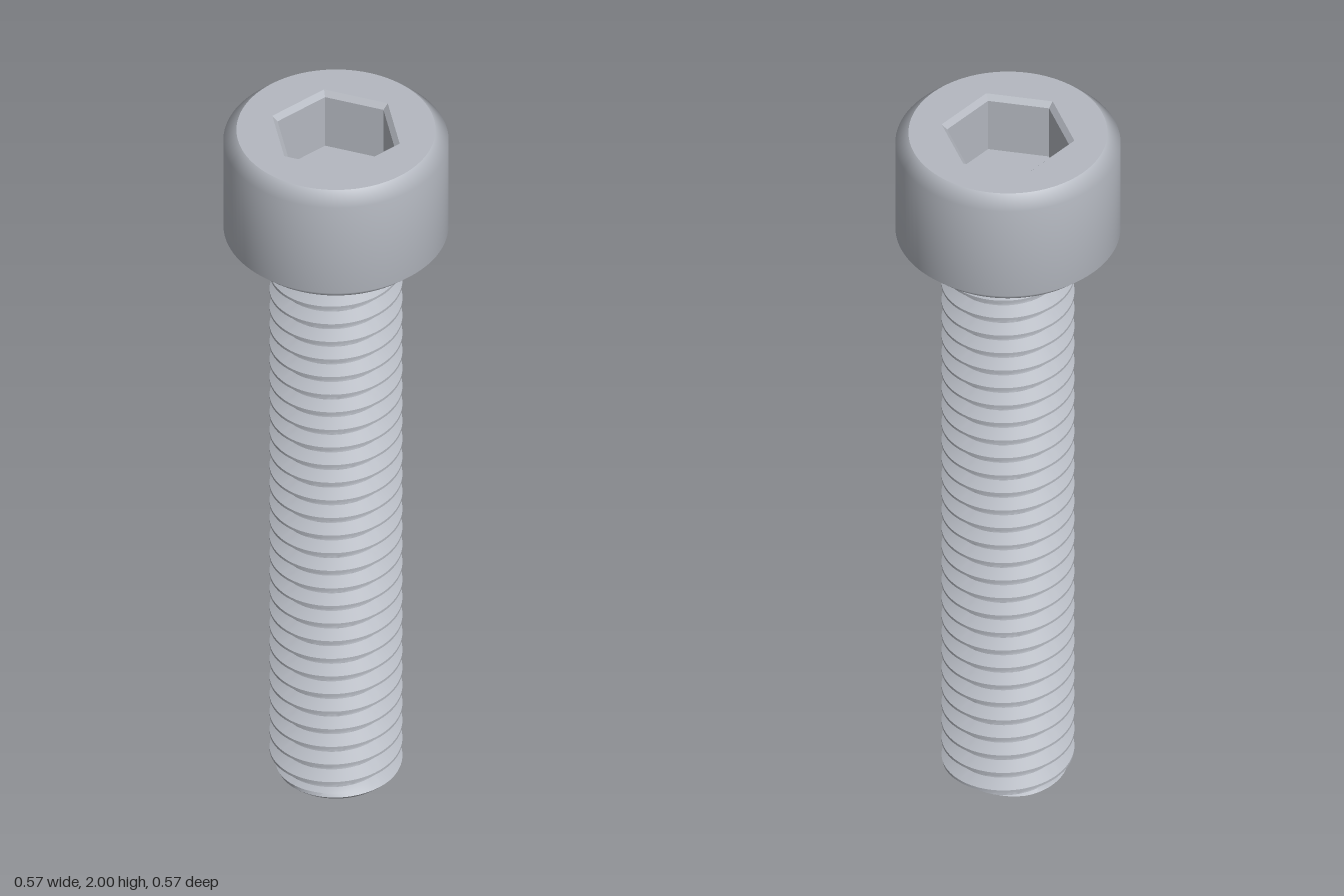
import * as THREE from 'three';
import { toCreasedNormals } from 'three/addons/utils/BufferGeometryUtils.js';

const SEG = 96;
const HEAD_Y = 1.667, TOP_Y = 2;
const HEAD_R = 0.283, FACE_R = 0.25;
const CREST = 0.167, DEPTH = 0.03, PITCH = 1 / 18, TIP_R = 0.145;
const START = 0.016; // height of the crest at the front, lowest turn

// thread radius at an angle and height, with tip chamfer and neck below the head
function threadRadius(a, y) {
  const t = (y - START) / PITCH - a / (2 * Math.PI);
  const d = Math.abs(t - Math.round(t));
  const flank = THREE.MathUtils.clamp((d - 0.0625) / 0.3125, 0, 1);
  const root = Math.max(0, d - 0.375) * 0.016;
  const r = CREST - DEPTH * flank - root;
  const neck = 0.14 + Math.max(0, 1.652 - y);
  return Math.min(r, TIP_R + y, neck);
}

function threadPoint(a, y) {
  const h = THREE.MathUtils.clamp(y, 0, HEAD_Y);
  const r = threadRadius(a, h);
  return [r * Math.sin(a), h, r * Math.cos(a)];
}

// helical surface: every row follows the thread once around
function threadGeometry() {
  const rows = [];
  for (let turn = -2; turn <= 31; turn++) {
    for (const t of [-0.0625, 0.0625, 0.22, 0.375, 0.5, 0.625, 0.78]) rows.push(turn + t);
  }
  const pos = [], index = [], w = SEG + 1;
  for (const t of rows) {
    for (let i = 0; i <= SEG; i++) {
      const a = (i / SEG) * Math.PI * 2;
      pos.push(...threadPoint(a, START + PITCH * (t + i / SEG)));
    }
  }
  for (let j = 0; j < rows.length - 1; j++) {
    for (let i = 0; i < SEG; i++) {
      const p = j * w + i, q = p + w;
      // skip strips flattened onto either end
      const ys = [p, p + 1, q, q + 1].map((k) => pos[k * 3 + 1]);
      if (Math.max(...ys) - Math.min(...ys) < 1e-6) continue;
      index.push(p, p + 1, q + 1, p, q + 1, q);
    }
  }
  const g = new THREE.BufferGeometry();
  g.setAttribute('position', new THREE.Float32BufferAttribute(pos, 3));
  g.setIndex(index);
  return toCreasedNormals(g, 0.6);
}

// flat end of the shank
function tipGeometry() {
  const pos = [];
  for (let i = 0; i < SEG; i++) {
    const a = (i / SEG) * Math.PI * 2, b = ((i + 1) / SEG) * Math.PI * 2;
    pos.push(0, 0, 0, ...threadPoint(b, 0), ...threadPoint(a, 0));
  }
  const g = new THREE.BufferGeometry();
  g.setAttribute('position', new THREE.Float32BufferAttribute(pos, 3));
  g.computeVertexNormals();
  return g;
}

const profile = (pts) => pts.map(([x, y]) => new THREE.Vector2(x, y));

export function createModel() {
  const model = new THREE.Group();
  model.name = 'socketHeadScrew';
  const steel = new THREE.MeshStandardMaterial({ color: 0xb4b8c0 });
  steel.name = 'steel grey';

  const add = (parent, name, geometry) => {
    const mesh = new THREE.Mesh(geometry, steel);
    mesh.name = name;
    parent.add(mesh);
  };

  const head = new THREE.Group();
  head.name = 'head';
  const shank = new THREE.Group();
  shank.name = 'shank';
  model.add(head, shank);

  // head wall with softly shaded chamfers
  add(head, 'headWall', new THREE.LatheGeometry(profile([
    [FACE_R, HEAD_Y], [HEAD_R, HEAD_Y + 0.032], [HEAD_R, TOP_Y - 0.032], [FACE_R, TOP_Y],
  ]), SEG));

  // top face with a hexagonal opening
  const hexR = 0.17;
  const face = new THREE.Shape().absarc(0, 0, FACE_R, 0, Math.PI * 2);
  const hex = [];
  for (let i = 0; i < 6; i++) {
    const a = (-i * Math.PI) / 3;
    hex.push(new THREE.Vector2(hexR * Math.cos(a), hexR * Math.sin(a)));
  }
  face.holes.push(new THREE.Path(hex));
  add(head, 'headTop', new THREE.ShapeGeometry(face, SEG).rotateX(-Math.PI / 2).translate(0, TOP_Y, 0));

  // hex socket: chamfer, walls and floor
  const socket = new THREE.LatheGeometry(profile([
    [hexR, TOP_Y], [0.156, TOP_Y - 0.014], [0.156, 1.833], [0, 1.833],
  ]), 6, Math.PI / 2).toNonIndexed();
  socket.computeVertexNormals();
  add(head, 'hexSocket', socket);

  // bearing face under the head
  add(head, 'headUnderside', new THREE.RingGeometry(0.12, FACE_R, SEG).rotateX(Math.PI / 2).translate(0, HEAD_Y, 0));

  add(shank, 'thread', threadGeometry());
  add(shank, 'tip', tipGeometry());
  return model;
}
